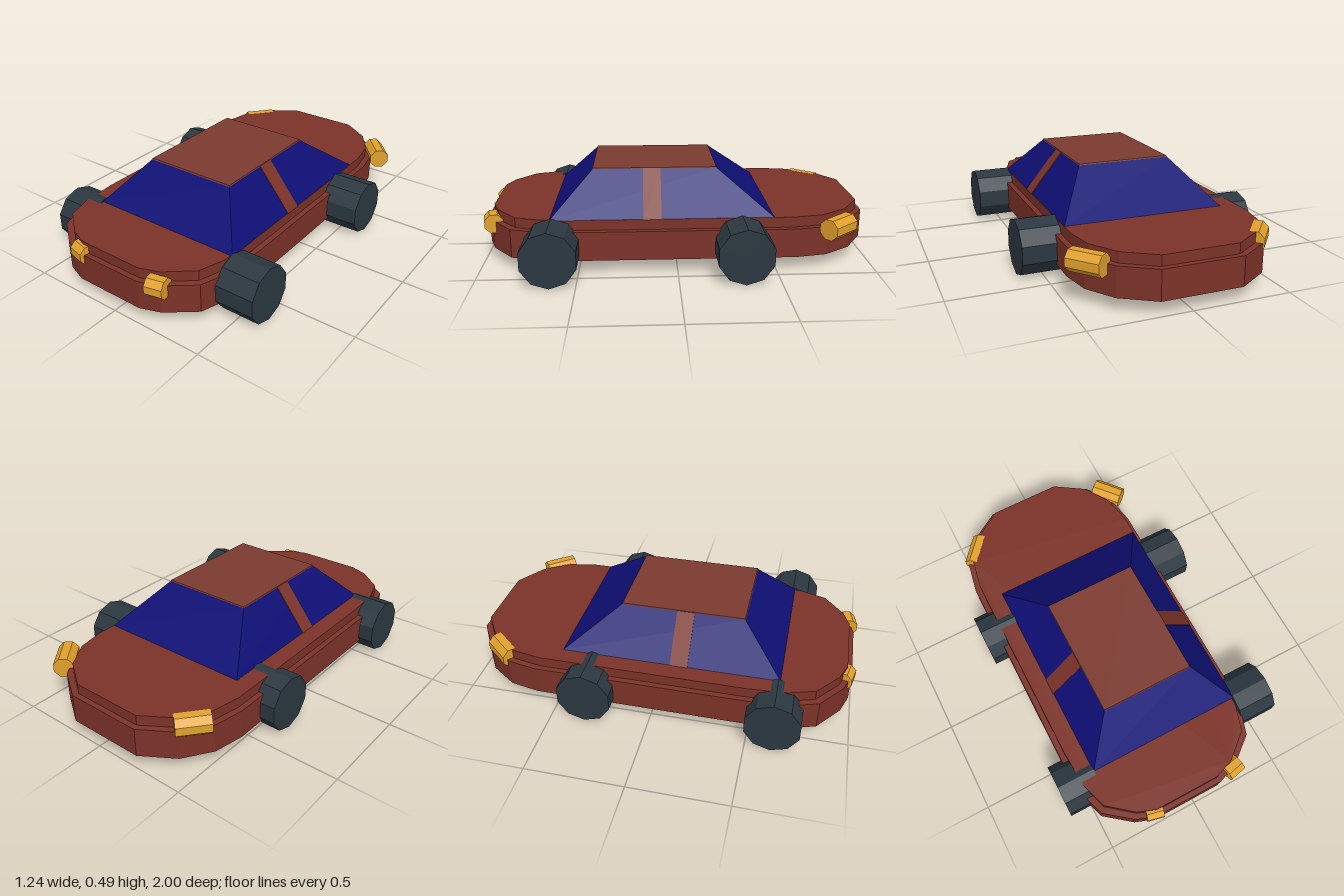
import * as THREE from 'three';

const paint = (color) => new THREE.MeshStandardMaterial({ color, flatShading: true });

function add(parent, name, geometry, material) {
  const mesh = new THREE.Mesh(geometry, material);
  mesh.name = name;
  parent.add(mesh);
  return mesh;
}

// Horizontal slab from a mirrored plan outline given as [half width, z], back to front
function slab(outline, y0, y1, centreX) {
  const left = outline.map(([x, z]) => new THREE.Vector2(centreX + x, -z));
  const right = outline.map(([x, z]) => new THREE.Vector2(centreX - x, -z)).reverse();
  const shape = new THREE.Shape([...left, ...right]);
  const g = new THREE.ExtrudeGeometry(shape, { depth: y1 - y0, bevelEnabled: false });
  return g.rotateX(-Math.PI / 2).translate(0, y0, 0);
}

// Box whose top differs from its bottom: each end is [half width, back z, front z, y]
function tapered(bottom, top) {
  const g = new THREE.BoxGeometry(2, 2, 2);
  const p = g.attributes.position;
  for (let i = 0; i < p.count; i++) {
    const [w, back, front, y] = p.getY(i) > 0 ? top : bottom;
    p.setXYZ(i, Math.sign(p.getX(i)) * w, y, p.getZ(i) > 0 ? front : back);
  }
  g.computeVertexNormals();
  return g;
}

// Faceted drum lying along x
function drum(radius, length, sides) {
  return new THREE.CylinderGeometry(radius, radius, length, sides, 1, false, Math.PI / sides)
    .rotateZ(Math.PI / 2);
}

export function createModel() {
  const car = new THREE.Group();
  car.name = 'car';
  const body = paint(0x7b3228);
  const roof = paint(0x7b3a30);
  const glass = paint(0x0e0e74);
  const rubber = paint(0x2b3740);
  const amber = paint(0xe0a02c);

  // Body: wide lower hull with a slightly inset deck on it
  const outline = [
    [0.205, -1], [0.37, -0.895], [0.465, -0.755], [0.495, -0.6],
    [0.495, 0.5], [0.48, 0.7], [0.435, 0.835], [0.295, 0.945], [0.19, 0.982],
  ];
  const deckOutline = outline.map(([x, z]) => [x * 0.94, z * 0.972]);
  add(car, 'lowerBody', slab(outline, 0.075, 0.225, -0.045), body);
  add(car, 'upperBody', slab(deckOutline, 0.225, 0.278, -0.045), body);

  // Cabin: sloped glass, roof panel and the pillars between the side windows
  const base = [0.42, -0.485, 0.637, 0.277];
  add(car, 'cabinGlass', tapered(base, [0.245, -0.207, 0.425, 0.492]), glass);
  add(car, 'roof', tapered([0.247, -0.21, 0.428, 0.489], [0.245, -0.207, 0.425, 0.496]), roof);
  add(car, 'sidePillars', tapered([0.423, 0.08, 0.17, 0.277], [0.248, 0.08, 0.17, 0.4935]), body);

  for (const side of [1, -1]) {
    const label = side > 0 ? 'left' : 'right';

    // Wheels
    for (const [end, z] of [['Front', 0.627], ['Rear', -0.323]]) {
      add(car, `${label}${end}Wheel`, drum(0.1425, 0.205, 10), rubber)
        .position.set(side * 0.518, 0.1455, z);
    }

    // Lamps follow the rounded corners of the body
    const front = add(car, `${label}Headlamp`, drum(0.052, 0.09, 8), amber);
    front.position.set(side * 0.234, 0.215, 0.944);
    front.rotation.y = side * 0.22;

    const rear = add(car, `${label}TailLamp`, drum(0.056, 0.17, 8), amber);
    rear.position.set(side * 0.425, 0.2265, -0.81);
    rear.rotation.y = -side * 0.87;
  }
  return car;
}
